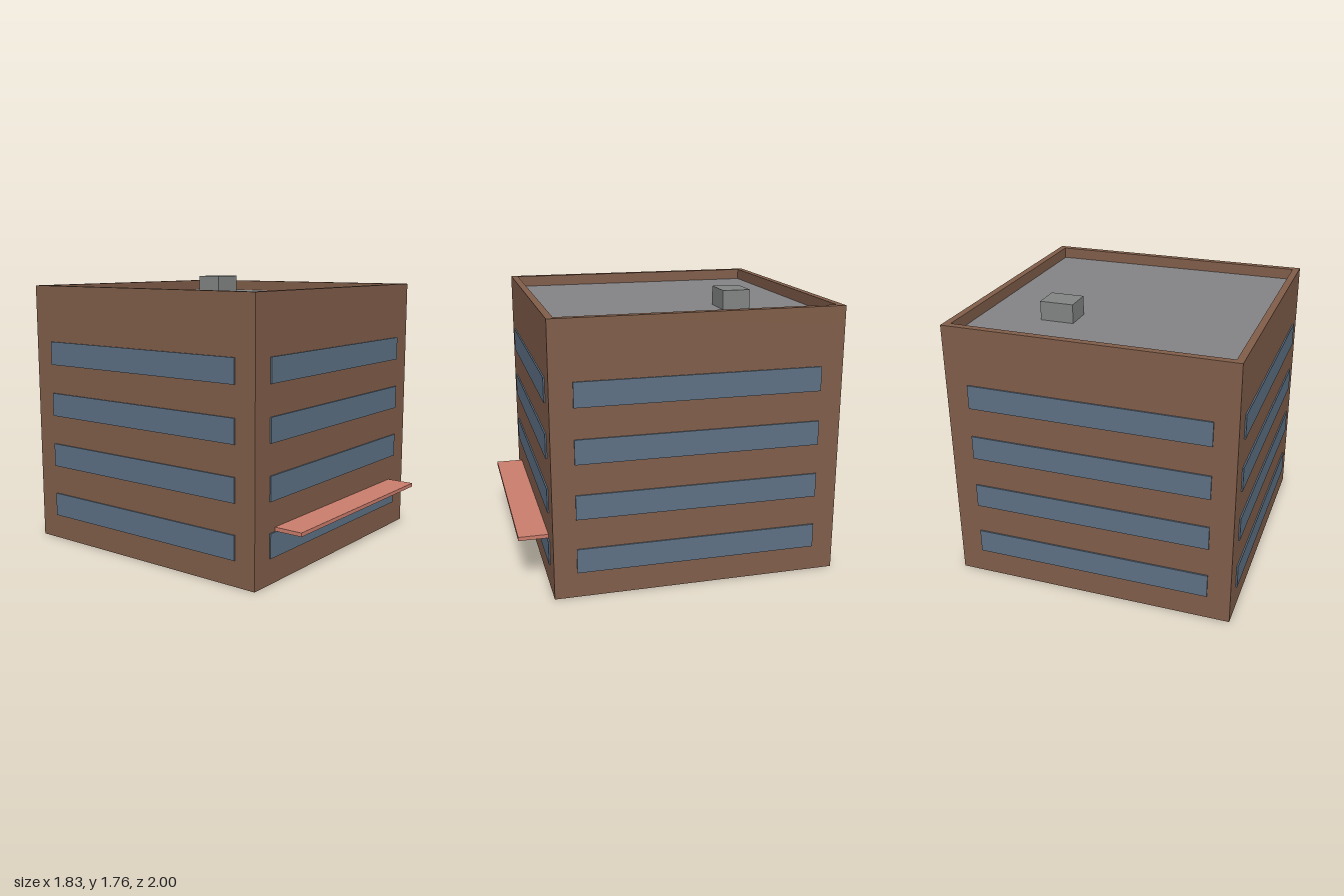
import * as THREE from 'three';

const material = (name, color) => new THREE.MeshStandardMaterial({ name, color });

export function createModel() {
  const brick = material('brown brick', 0x805d49);
  const glass = material('blue glass', 0x5d7084);
  const roofing = material('grey roofing', 0x838286);
  const metal = material('grey metal', 0x828484);
  const coral = material('coral canopy', 0xca7d6c);

  const model = new THREE.Group();
  model.name = 'officeBlock';

  // Box given by its centre in x and z and its bottom and top in y
  const box = (name, mat, w, d, x, z, y0, y1, parent = model) => {
    const mesh = new THREE.Mesh(new THREE.BoxGeometry(w, y1 - y0, d), mat);
    mesh.name = name;
    mesh.position.set(x, (y0 + y1) / 2, z);
    parent.add(mesh);
    return mesh;
  };

  const W = 0.905, D = 0.903, zc = -0.088; // half width, half depth, centre of the block
  const rim = 0.045, deck = 1.6, roofY = 1.64, top = 1.712;

  // Main block
  box('walls', brick, W * 2, D * 2, 0, zc, 0, deck);

  // Parapet: a rectangular ring around the sunken roof
  const rect = (Path, w, d) => new Path([[-w, -d], [w, -d], [w, d], [-w, d]].map(p => new THREE.Vector2(...p)));
  const ring = rect(THREE.Shape, W, D);
  ring.holes.push(rect(THREE.Path, W - rim, D - rim));
  const parapetGeometry = new THREE.ExtrudeGeometry(ring, { depth: top - deck, bevelEnabled: false });
  parapetGeometry.rotateX(-Math.PI / 2);
  const parapet = new THREE.Mesh(parapetGeometry, brick);
  parapet.name = 'parapet';
  parapet.position.set(0, deck, zc);
  model.add(parapet);

  // Roof deck and rooftop unit
  box('roof', roofing, (W - rim) * 2, (D - rim) * 2, 0, zc, deck, roofY);
  box('rooftopUnit', metal, 0.214, 0.177, 0.36, -0.452, roofY, 1.76);

  // Four window bands on each of the four sides
  const t = 0.009;
  for (let floor = 0; floor < 4; floor++) {
    const band = new THREE.Group();
    band.name = `windowBand${floor + 1}`;
    const y0 = 0.161 + floor * 0.344, y1 = y0 + 0.153;
    for (const s of [1, -1]) {
      box(s > 0 ? 'frontWindow' : 'backWindow', glass, 1.52, t, 0, zc + s * (D + t / 2), y0, y1, band);
      box(s > 0 ? 'leftWindow' : 'rightWindow', glass, t, 1.525, s * (W + t / 2), zc, y0, y1, band);
    }
    model.add(band);
  }

  // Entrance canopy
  box('canopy', coral, 1.41, 0.185, 0, 0.9075, 0.316, 0.34);

  return model;
}
